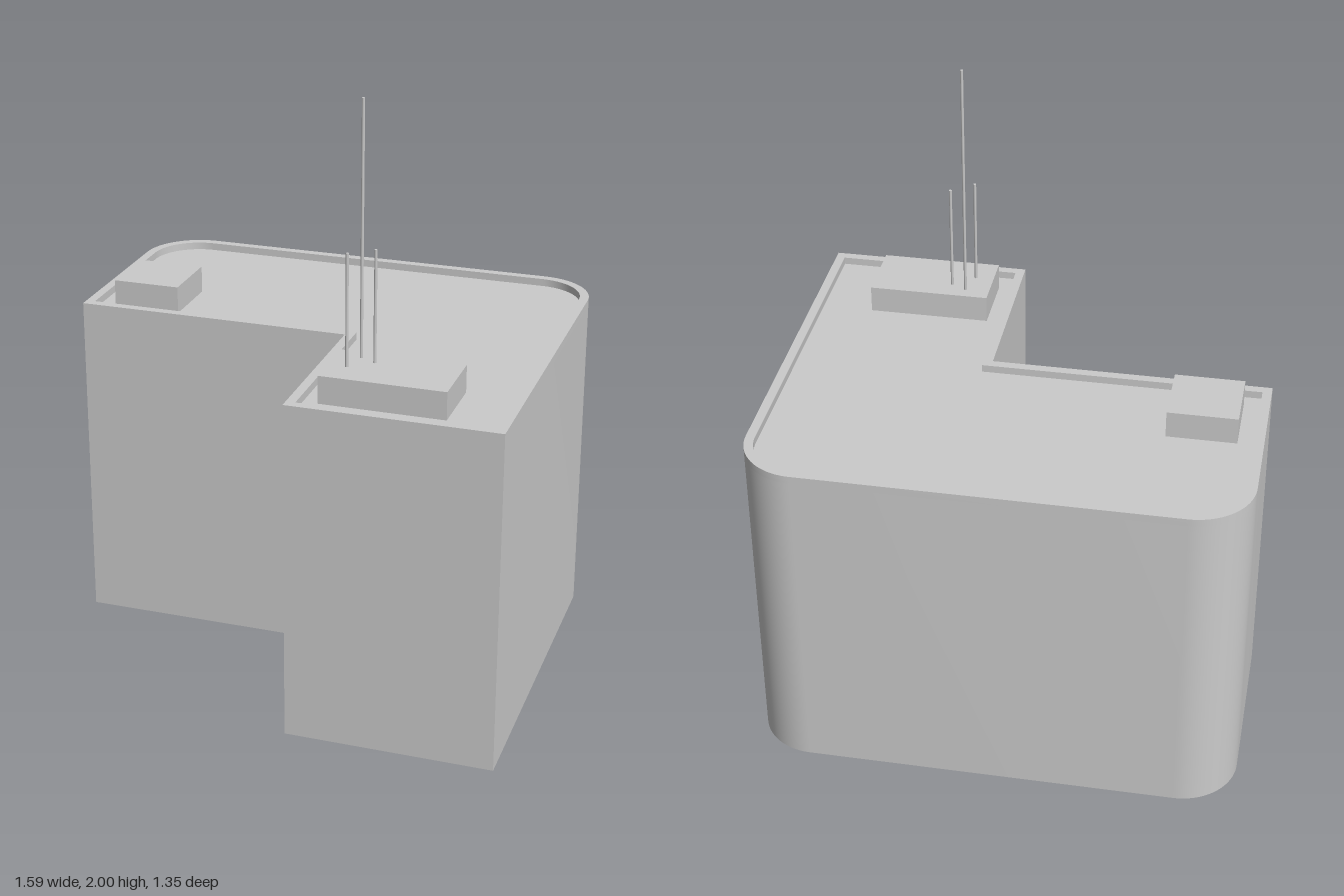
import * as THREE from 'three';
import { toCreasedNormals } from 'three/addons/utils/BufferGeometryUtils.js';

const ROOF = 1.1, RIM_TOP = 1.125, RIM = 0.03;

// L-shaped plan with two rounded back corners, inset by d (plan y is -z)
function plan(d, PathType = THREE.Shape) {
  const x = 0.795 - d, back = 0.676 - d, front = -0.676 + d;
  const notchX = 0.12 + d, notchY = -0.07 + d, r = 0.19 - d;
  const p = new PathType();
  p.moveTo(-x, notchY);
  p.lineTo(notchX, notchY);
  p.lineTo(notchX, front);
  p.lineTo(x, front);
  p.lineTo(x, back - r);
  p.absarc(x - r, back - r, r, 0, Math.PI / 2, false);
  p.lineTo(-x + r, back);
  p.absarc(-x + r, back - r, r, Math.PI / 2, Math.PI, false);
  p.lineTo(-x, notchY);
  return p;
}

export function createModel() {
  const group = new THREE.Group();
  const material = new THREE.MeshStandardMaterial({ color: 0xcccccc });

  function add(name, geometry, x = 0, y = 0, z = 0) {
    const mesh = new THREE.Mesh(geometry, material);
    mesh.name = name;
    mesh.position.set(x, y, z);
    group.add(mesh);
  }

  function extrudeUp(shape, depth) {
    const g = new THREE.ExtrudeGeometry(shape, { depth, bevelEnabled: false, curveSegments: 10 });
    g.rotateX(-Math.PI / 2);
    return toCreasedNormals(g, Math.PI / 6);
  }

  // Main block up to the sunken roof
  add('building', extrudeUp(plan(0), ROOF));

  // Raised rim around the roof
  const rim = plan(0);
  rim.holes.push(plan(RIM, THREE.Path));
  add('parapet', extrudeUp(rim, RIM_TOP - ROOF), 0, ROOF, 0);

  // Rooftop plant rooms: name, centre x, centre z, width, depth
  const height = 1.19 - ROOF;
  for (const [name, x, z, w, d] of [
    ['smallRoofBox', -0.598, -0.115, 0.225, 0.22],
    ['largeRoofBox', 0.396, 0.466, 0.4, 0.225],
  ]) add(name, new THREE.BoxGeometry(w, height, d), x, ROOF + height / 2, z);

  // Antenna masts: name, x, z, top
  for (const [name, x, z, top] of [
    ['tallAntenna', 0.277, 0.398, 2],
    ['shortAntennaRight', 0.257, 0.482, 1.55],
    ['shortAntennaLeft', 0.328, 0.425, 1.55],
  ]) {
    const h = top - 1.18;
    add(name, new THREE.CylinderGeometry(0.005, 0.005, h, 8), x, 1.18 + h / 2, z);
  }

  return group;
}
